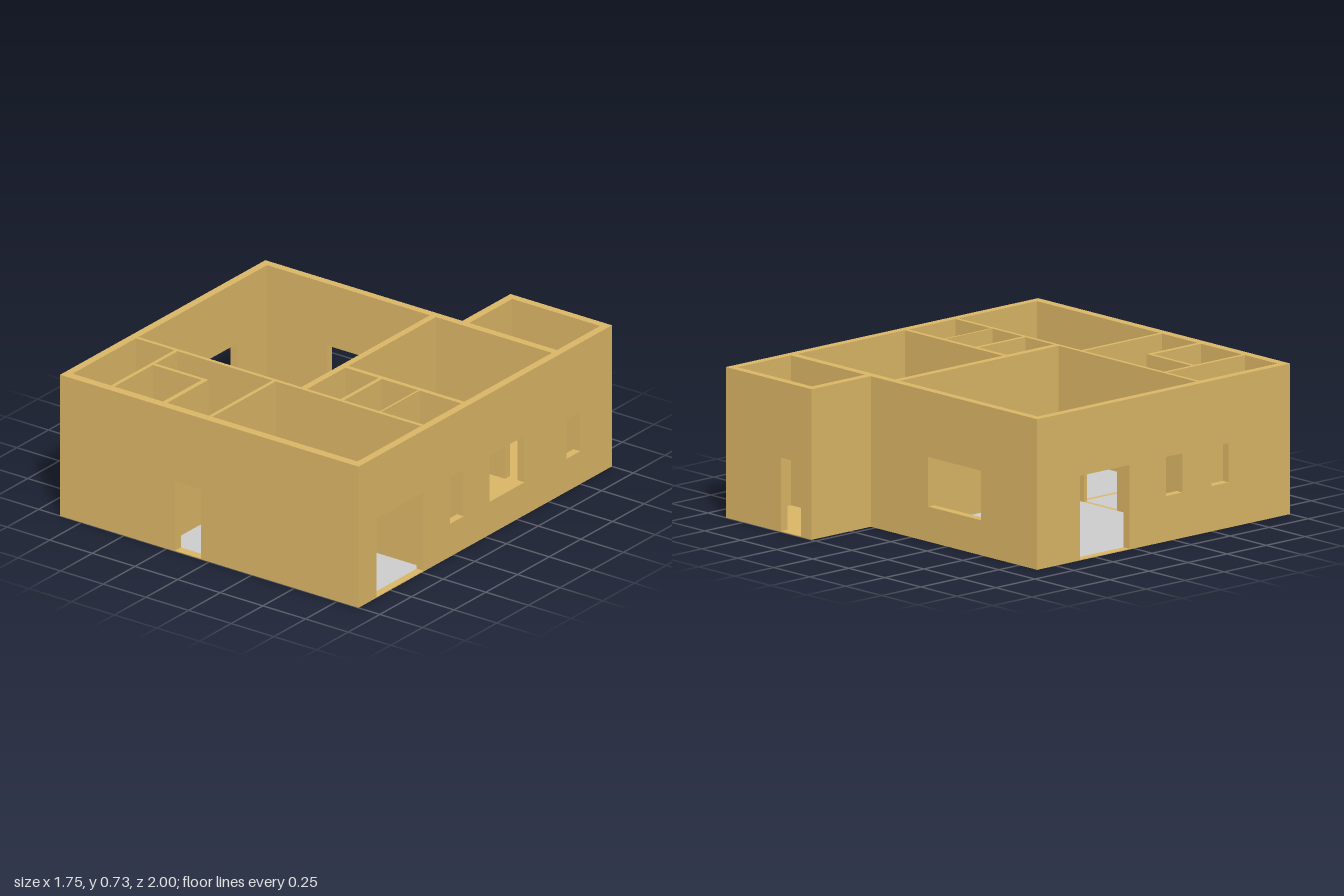
import * as THREE from 'three';

const HEIGHT = 0.73;
const SILL = 0.004; // floor thickness, also the threshold left under doors
const DOOR = 0.36;

export function createModel() {
  const model = new THREE.Group();
  model.name = 'house';
  const wallMat = new THREE.MeshStandardMaterial({ color: 0xd8b464 });
  const floorMat = new THREE.MeshStandardMaterial({ color: 0xcccccc });

  // Wall panel from a to b, pierced by openings [from, to, bottom, top]
  function panel(name, a, b, thickness, openings) {
    const shape = new THREE.Shape([
      new THREE.Vector2(a, 0), new THREE.Vector2(b, 0),
      new THREE.Vector2(b, HEIGHT), new THREE.Vector2(a, HEIGHT),
    ]);
    for (const [u0, u1, v0, v1] of openings) {
      const bottom = Math.max(v0, SILL);
      shape.holes.push(new THREE.Path([
        new THREE.Vector2(u0, bottom), new THREE.Vector2(u0, v1),
        new THREE.Vector2(u1, v1), new THREE.Vector2(u1, bottom),
      ]));
    }
    const geometry = new THREE.ExtrudeGeometry(shape, { depth: thickness, bevelEnabled: false });
    const mesh = new THREE.Mesh(geometry, wallMat);
    mesh.name = name;
    model.add(mesh);
    return mesh;
  }

  // Wall running along x, between depths z0 and z1
  function wallX(name, z0, z1, a, b, openings = []) {
    panel(name, a, b, z1 - z0, openings).position.z = z0;
  }

  // Wall running along z, between x0 and x1
  function wallZ(name, x0, x1, a, b, openings = []) {
    const mesh = panel(name, a, b, x1 - x0, openings);
    mesh.geometry.rotateY(-Math.PI / 2);
    mesh.position.x = x1;
  }

  // Outer walls
  wallX('frontWall', 0.955, 1, -0.875, 0.875, [[-0.2, -0.05, 0, DOOR]]);
  wallX('backWall', -0.62, -0.58, -0.875, 0.875, [
    [-0.485, -0.118, 0.17, 0.41], // window
    [0.56, 0.7, 0, DOOR], // door to the annex
  ]);
  wallZ('leftWall', 0.835, 0.875, -0.58, 0.955, [
    [0.487, 0.86, 0, 0.41],
    [0.17, 0.28, 0.17, 0.41],
    [-0.31, -0.035, 0.17, 0.41],
  ]);
  wallZ('rightWall', -0.875, -0.835, -0.58, 0.955, [
    [-0.345, -0.03, 0, 0.41],
    [0.205, 0.31, 0.22, 0.41],
    [0.495, 0.605, 0.22, 0.41],
  ]);

  // Annex at the back
  wallX('annexBackWall', -1, -0.96, 0.28, 0.875, [[0.353, 0.49, 0, DOOR]]);
  wallZ('annexLeftWall', 0.835, 0.875, -0.96, -0.62, [[-0.75, -0.64, 0.17, 0.375]]);
  wallZ('annexRightWall', 0.28, 0.32, -0.96, -0.62);

  // Inner walls
  wallX('crossWall', 0.435, 0.455, -0.835, 0.835, [[-0.285, -0.055, 0, DOOR]]);
  wallZ('hallWall', 0.12, 0.155, -0.58, 0.435, [[0.25, 0.37, 0, DOOR]]);
  wallX('backRoomWall', 0.11, 0.135, 0.155, 0.835, [[0.18, 0.32, 0, DOOR]]);
  wallZ('smallRoomWall', 0.35, 0.37, 0.135, 0.435, [[0.25, 0.39, 0, 0.355]]);
  wallZ('smallRoomPartition', 0.58, 0.59, 0.135, 0.435, [[0.25, 0.39, 0, 0.355]]);
  wallZ('sideRoomWall', -0.61, -0.59, 0.455, 0.955, [[0.48, 0.61, 0, DOOR]]);
  wallX('closetBackWall', 0.63, 0.65, -0.59, -0.28, [[-0.5, -0.37, 0, DOOR]]);
  wallZ('closetSideWall', -0.305, -0.28, 0.65, 0.955);
  wallZ('entryWall', -0.035, -0.015, 0.455, 0.955, [[0.47, 0.75, 0, DOOR]]);

  // Floors: [name, x0, x1, z0, z1, material]
  const floors = [
    ['mainRoomFloor', -0.835, 0.12, -0.58, 0.435, floorMat],
    ['hallFloor', 0.155, 0.35, 0.135, 0.435, floorMat],
    ['entryBackFloor', -0.59, -0.035, 0.455, 0.63, floorMat],
    ['entryFrontFloor', -0.28, -0.035, 0.63, 0.955, floorMat],
    ['frontRoomFloor', -0.015, 0.835, 0.455, 0.955, floorMat],
    ['backRoomFloor', 0.155, 0.835, -0.58, 0.11, wallMat],
    ['annexFloor', 0.32, 0.835, -0.96, -0.62, wallMat],
    ['innerSmallRoomFloor', 0.37, 0.58, 0.135, 0.435, wallMat],
    ['outerSmallRoomFloor', 0.59, 0.835, 0.135, 0.435, wallMat],
    ['sideRoomFloor', -0.835, -0.61, 0.455, 0.955, wallMat],
    ['closetFloor', -0.59, -0.305, 0.65, 0.955, wallMat],
  ];
  for (const [name, x0, x1, z0, z1, material] of floors) {
    const floor = new THREE.Mesh(new THREE.BoxGeometry(x1 - x0, SILL, z1 - z0), material);
    floor.position.set((x0 + x1) / 2, SILL / 2, (z0 + z1) / 2);
    floor.name = name;
    model.add(floor);
  }

  return model;
}
